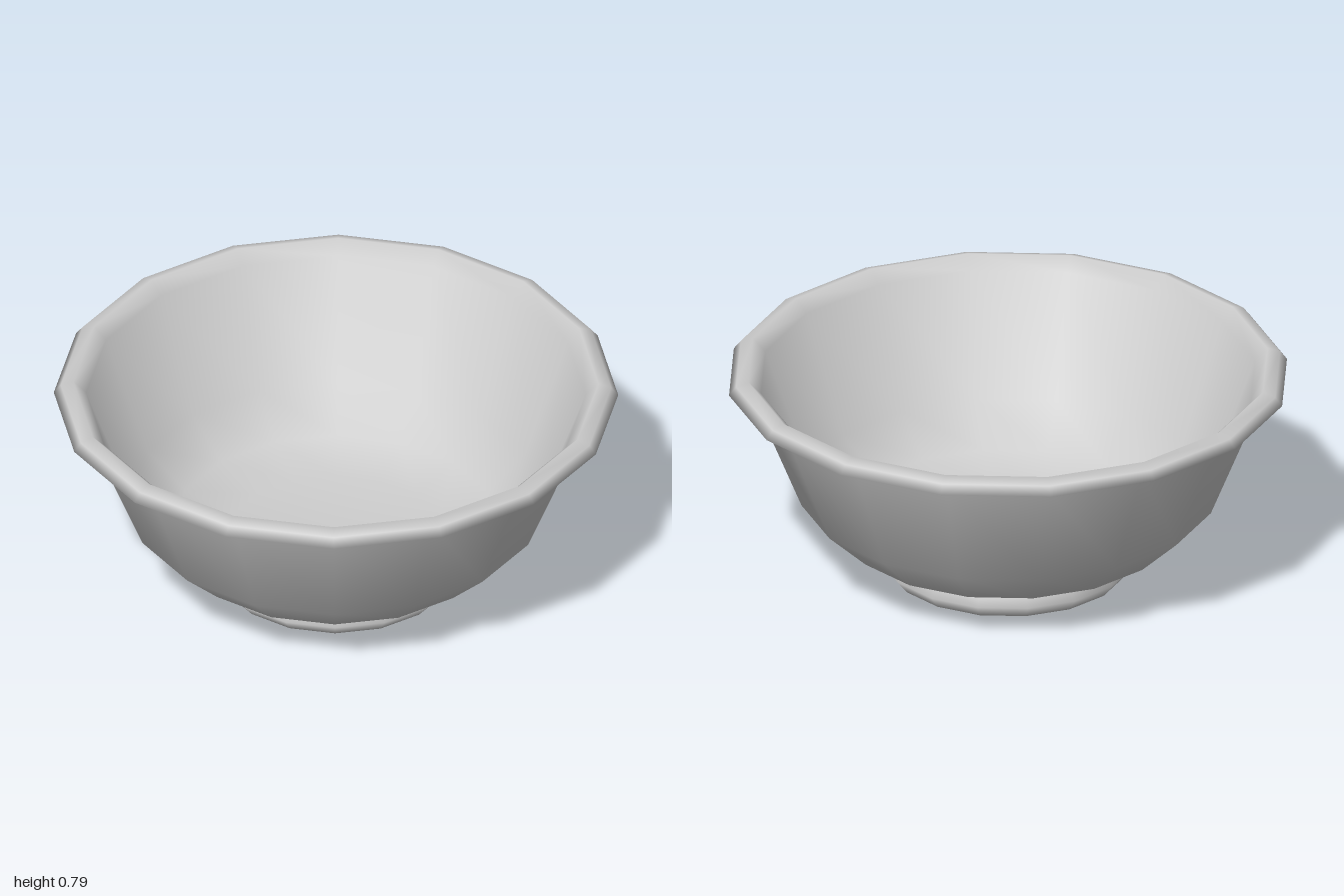
import * as THREE from 'three';

const SIDES = 16;
const material = new THREE.MeshStandardMaterial({ color: 0xcccccc });

// Revolve a list of [radius, height] points, with evenly blended normals along the
// profile; separate parts keep hard edges between them
function turned(name, profile) {
  const points = profile.map(([r, y]) => new THREE.Vector2(r, y));
  const geometry = new THREE.LatheGeometry(points, SIDES);

  // Unit normal of each profile segment
  const segments = points.slice(1).map((p, i) => {
    const d = p.clone().sub(points[i]).normalize();
    return new THREE.Vector2(d.y, -d.x);
  });
  // Normal of each ring: the mean of its two segments, vertical on the axis
  const rings = points.map((p, i) => {
    const before = segments[Math.max(i - 1, 0)];
    const after = segments[Math.min(i, segments.length - 1)];
    const n = before.clone().add(after);
    if (p.x === 0) n.x = 0;
    return n.normalize();
  });
  const normal = geometry.attributes.normal;
  for (let i = 0; i < normal.count; i++) {
    const angle = (Math.floor(i / rings.length) / SIDES) * Math.PI * 2;
    const n = rings[i % rings.length];
    normal.setXYZ(i, n.x * Math.sin(angle), n.y, n.x * Math.cos(angle));
  }

  const mesh = new THREE.Mesh(geometry, material);
  mesh.name = name;
  return mesh;
}

export function createModel() {
  const bowl = new THREE.Group();
  bowl.name = 'bowl';

  // Closed foot with a bulging edge
  bowl.add(turned('foot', [[0, 0], [0.42, 0], [0.457, 0.047], [0.42, 0.095]]));

  // Outer wall, flaring up to the rim
  bowl.add(turned('outerWall', [[0.42, 0.095], [0.59, 0.15], [0.74, 0.29], [0.92, 0.737]]));

  // Overhanging lip rolling over into the thin inner wall and the floor
  bowl.add(turned('lipAndInside', [
    [0.92, 0.737], [1, 0.74], [0.975, 0.772], [0.93, 0.787], [0.885, 0.74],
    [0.725, 0.31], [0.58, 0.18], [0.4, 0.125], [0, 0.12],
  ]));

  return bowl;
}
